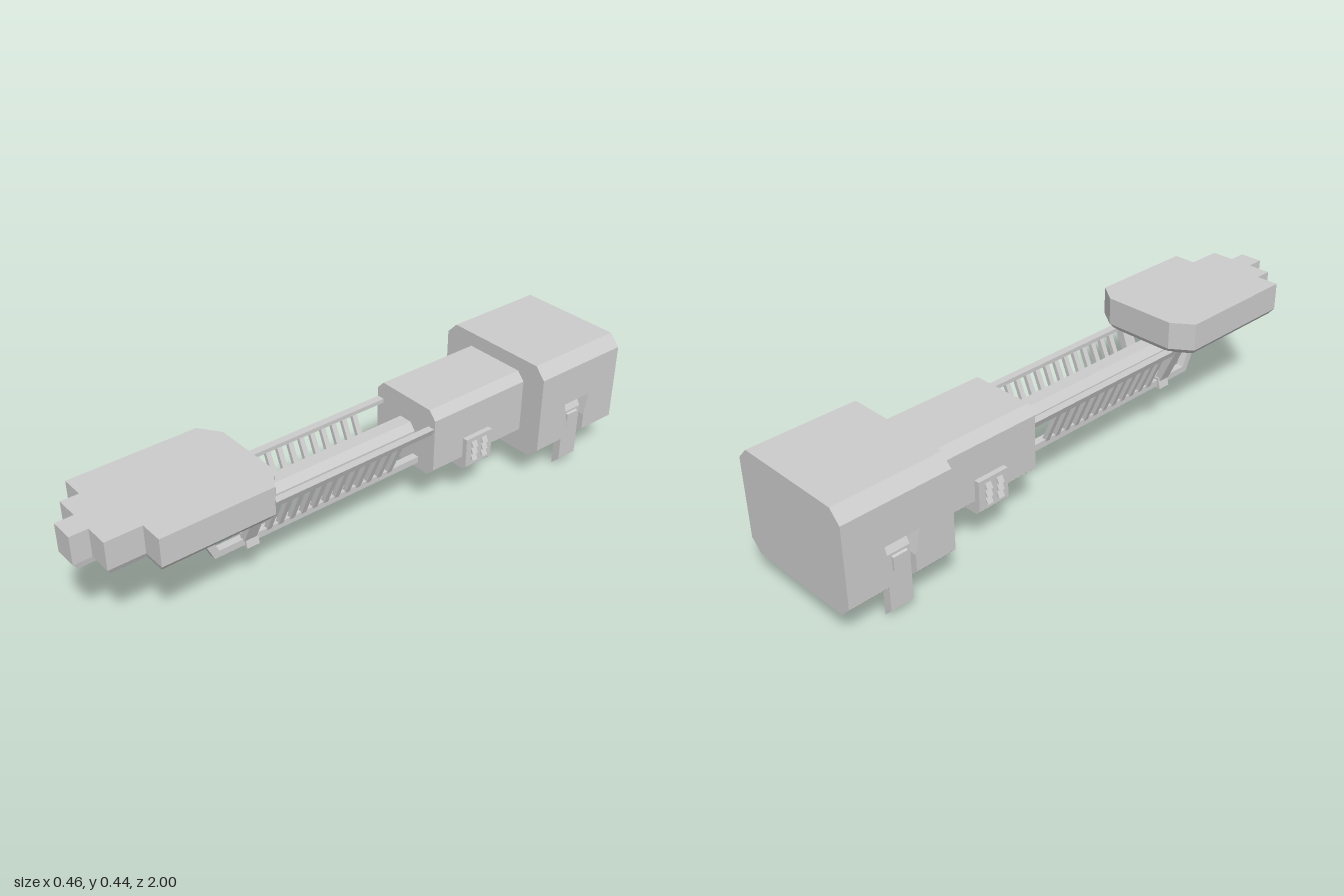
import * as THREE from 'three';

const material = new THREE.MeshStandardMaterial({ color: 0xcccccc, flatShading: true });
const smooth = new THREE.MeshStandardMaterial({ color: 0xcccccc });

const shapeOf = (pts) => new THREE.Shape(pts.map(([x, y]) => new THREE.Vector2(x, y)));
const extrude = (pts, depth) => new THREE.ExtrudeGeometry(shapeOf(pts), { depth, bevelEnabled: false });
const mirror = (pts, s) => pts.map(([x, y]) => [x * s, y]);

// Cross-section in x/y, running from z0 to z1
const prismZ = (pts, z0, z1) => extrude(pts, z1 - z0).translate(0, 0, z0);
// Outline in z/y, running from x0 to x1
const prismX = (pts, x0, x1) => extrude(pts, x1 - x0).rotateY(-Math.PI / 2).translate(x1, 0, 0);
// Outline in x/z, running from y0 to y1
const prismY = (pts, y0, y1) => extrude(pts, y1 - y0).rotateX(Math.PI / 2).translate(0, y1, 0);
const box = (x0, x1, y0, y1, z0, z1) =>
  new THREE.BoxGeometry(x1 - x0, y1 - y0, z1 - z0).translate((x0 + x1) / 2, (y0 + y1) / 2, (z0 + z1) / 2);

export function createModel() {
  const model = new THREE.Group();
  const add = (name, geometry, parent = model, mat = material) => {
    const mesh = new THREE.Mesh(geometry, mat);
    mesh.name = name;
    parent.add(mesh);
    return mesh;
  };
  const group = (name) => {
    const g = new THREE.Group();
    g.name = name;
    model.add(g);
    return g;
  };

  // Stepped head plate with a tapered underside
  const outline = [[-0.13, 0.39], [0.13, 0.39], [0.2, 0.44], [0.2, 0.82], [0.12, 0.82], [0.12, 0.94], [0.04, 0.94],
    [0.04, 1], [-0.04, 1], [-0.04, 0.94], [-0.12, 0.94], [-0.12, 0.88], [-0.2, 0.88], [-0.2, 0.44]];
  const head = group('head');
  add('headPlate', prismY(outline, 0.35, 0.445), head);
  const taper = prismY(outline, 0.33, 0.35);
  const p = taper.attributes.position;
  for (let i = 0; i < p.count; i++) {
    if (p.getY(i) < 0.34) p.setXYZ(i, p.getX(i) * 0.92, 0.33, 0.69 + (p.getZ(i) - 0.69) * 0.95);
  }
  taper.computeVertexNormals();
  add('headUnderside', taper, head);

  // Rear housing: core, notched side walls and corner wedges
  const housing = group('rearHousing');
  add('housingCore', box(-0.19, 0.19, 0.095, 0.445, -1, -0.63), housing);
  const wall = [[-1, 0.133], [-0.855, 0.133], [-0.855, 0.19], [-0.87, 0.27], [-0.75, 0.27], [-0.77, 0.19],
    [-0.77, 0.133], [-0.63, 0.133], [-0.63, 0.405], [-1, 0.405]];
  const topWedge = [[0.19, 0.405], [0.228, 0.405], [0.19, 0.445]];
  const lowWedge = [[0.19, 0.095], [0.228, 0.133], [0.19, 0.133]];
  for (const s of [1, -1]) {
    add('housingWall', prismX(wall, s > 0 ? 0.19 : -0.228, s > 0 ? 0.228 : -0.19), housing);
    add('housingTopCorner', prismZ(mirror(topWedge, s), -1, -0.63), housing);
    add('housingLowCorner', prismZ(mirror(lowWedge, s), -1, -0.855), housing);
    add('housingLowCorner', prismZ(mirror(lowWedge, s), -0.77, -0.63), housing);
  }

  // Folding legs set in the wall notches
  const legProfile = [[0.178, 0], [0.208, 0.03], [0.208, 0.22], [0.19, 0.255], [0.178, 0.255]];
  for (const s of [1, -1]) {
    const leg = group(s > 0 ? 'leftLeg' : 'rightLeg');
    add('legBlade', prismZ(mirror(legProfile, s), -0.852, -0.773), leg);
    add('legButton', prismZ(mirror([[0.2, 0.16], [0.216, 0.165], [0.216, 0.21], [0.2, 0.215]], s), -0.836, -0.786), leg);
  }

  // Middle housing
  const mid = [[-0.11, 0.15], [0.11, 0.15], [0.14, 0.178], [0.14, 0.365], [0.112, 0.395],
    [-0.112, 0.395], [-0.14, 0.365], [-0.14, 0.178]];
  add('middleHousing', prismZ(mid, -0.64, -0.23));

  // Corner clamps with barbs and bolts
  const clampProfile = [[0.04, 0.133], [0.145, 0.133], [0.158, 0.146], [0.158, 0.25], [0.138, 0.25],
    [0.138, 0.178], [0.11, 0.15], [0.04, 0.15]];
  for (const s of [1, -1]) {
    const clamp = group(s > 0 ? 'leftClamp' : 'rightClamp');
    add('clampBracket', prismZ(mirror(clampProfile, s), -0.475, -0.36), clamp);
    for (let row = 0; row < 3; row++) {
      const y = 0.165 + row * 0.025;
      for (const z of [-0.45, -0.405]) {
        add('barb', prismZ(mirror([[0.156, y + 0.004], [0.168, y], [0.156, y + 0.025]], s), z, z + 0.022), clamp);
      }
    }
    const x = 0.085 * s;
    add('boltWasher', new THREE.CylinderGeometry(0.024, 0.024, 0.012, 8).translate(x, 0.129, -0.417), clamp);
    add('boltHead', new THREE.CylinderGeometry(0.017, 0.017, 0.014, 6).translate(x, 0.118, -0.417), clamp);
    add('boltTip', new THREE.CylinderGeometry(0.011, 0.011, 0.018, 8).translate(x, 0.104, -0.417), clamp);
  }

  // Open arm: central beam
  const beam = [[0, 0.215], [0.046, 0.245], [0.046, 0.285], [0.024, 0.31], [-0.024, 0.31], [-0.046, 0.285], [-0.046, 0.245]];
  add('centralBeam', prismZ(beam, -0.24, 0.47));

  // Upper rails, bent lower rails and sloping ribs
  const lowRail = [[-0.24, 0.172], [0.572, 0.172], [0.65, 0.335], [0.62, 0.335], [0.555, 0.195], [-0.24, 0.195]];
  const rib = [[0.112, 0.325], [0.124, 0.318], [0.066, 0.185], [0.05, 0.19]];
  for (const s of [1, -1]) {
    const side = group(s > 0 ? 'leftArmFrame' : 'rightArmFrame');
    add('upperRail', prismZ(mirror([[0.11, 0.32], [0.127, 0.31], [0.137, 0.334], [0.11, 0.334]], s), -0.24, 0.43), side);
    add('lowerRail', prismX(lowRail, s > 0 ? 0.04 : -0.067, s > 0 ? 0.067 : -0.04), side);
    for (let i = 0; i < 12; i++) {
      const z = -0.105 + i * 0.0435;
      add('rib', prismZ(mirror(rib, s), z - 0.009, z + 0.009), side);
    }
    add('endRib', prismZ(mirror([[0.105, 0.333], [0.139, 0.333], [0.073, 0.19], [0.05, 0.19]], s), 0.425, 0.47), side);
  }

  // Cross collar joining the lower rails
  add('lowerCollar', prismZ([[-0.08, 0.165], [0.08, 0.165], [0.07, 0.203], [-0.07, 0.203]], 0.42, 0.465));

  // Cables hanging from the head into the beam
  const cables = group('cables');
  for (let i = -2; i <= 2; i++) {
    const drop = Math.abs(i) * 0.013;
    const x = i * 0.016;
    const curve = new THREE.CatmullRomCurve3([
      new THREE.Vector3(x, 0.34, 0.565), new THREE.Vector3(x * 1.1, 0.285 + drop / 2, 0.56),
      new THREE.Vector3(x * 1.05, 0.24 + drop, 0.525), new THREE.Vector3(x, 0.234 + drop, 0.46)]);
    add('cable', new THREE.TubeGeometry(curve, 14, 0.005, 8), cables, smooth);
  }

  return model;
}
